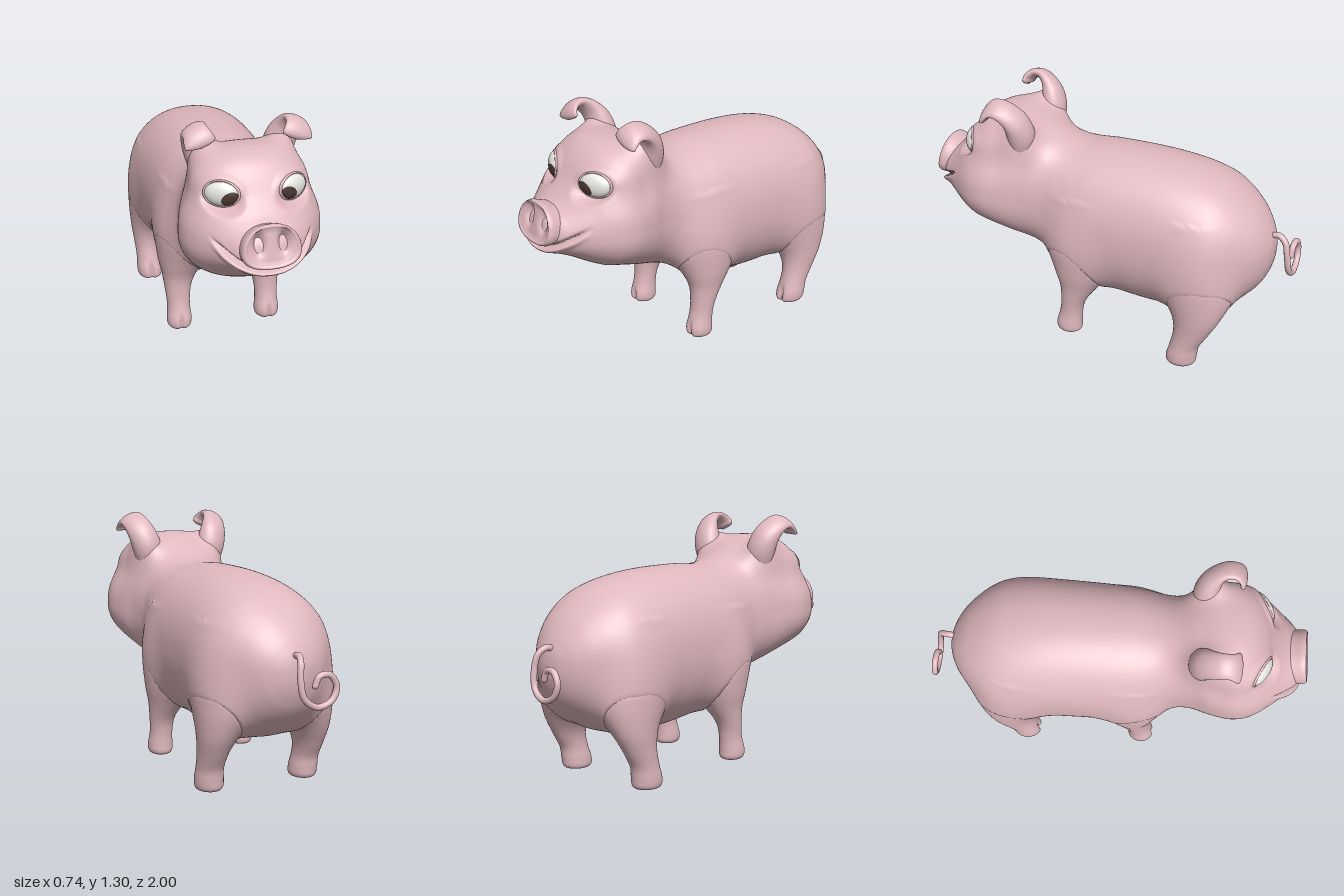
import * as THREE from 'three';

const V = (x, y, z) => new THREE.Vector3(x, y, z);
const pow = (v, p) => Math.sign(v) * Math.abs(v) ** p;
const bell = (d, s) => Math.exp(-((d / s) ** 2));
const step = THREE.MathUtils.smoothstep;

// Smooth closed skin over rings; point(i, angle) must turn anticlockwise about the loft direction
function loft(rings, segs, point) {
  const pos = [], index = [];
  for (let i = 0; i < rings; i++) {
    for (let j = 0; j < segs; j++) {
      pos.push(...point(i, (j / segs) * Math.PI * 2).toArray());
      if (i === rings - 1) continue;
      const a = i * segs + j, b = i * segs + ((j + 1) % segs);
      index.push(a, b, b + segs, a, b + segs, a + segs);
    }
  }
  const g = new THREE.BufferGeometry();
  g.setAttribute('position', new THREE.Float32BufferAttribute(pos, 3));
  g.setIndex(index);
  g.computeVertexNormals();
  return g;
}

function mirrored(geometry) {
  const g = geometry.clone().scale(-1, 1, 1), a = g.index.array;
  for (let i = 0; i < a.length; i += 3) [a[i], a[i + 1]] = [a[i + 1], a[i]];
  g.computeVertexNormals();
  return g;
}

// Splines through rows of five numbers, sampled together
function sampler(rows) {
  const curve = k => new THREE.CatmullRomCurve3(
    rows.map(r => V(r[k], r[k + 1], r[k + 2] ?? 0)), false, 'catmullrom', 0.5);
  const a = curve(0), b = curve(3);
  return t => [...a.getPoint(t).toArray(), ...b.getPoint(t).toArray()];
}

// The cross-section whose first number equals v
function locate(at, v) {
  let lo = 0, hi = 1;
  for (let i = 0; i < 14; i++) {
    const m = (lo + hi) / 2;
    if (at(m)[0] < v) lo = m; else hi = m;
  }
  return at(lo);
}

// Distance to an oval, and its outward direction
function oval(u, v, a, b) {
  const r = Math.hypot(u / a, v / b), gu = u / (a * a), gv = v / (b * b), g = Math.hypot(gu, gv) || 1e-6;
  return [(r * (r - 1)) / g, gu / g, gv / g];
}

// Body and head: z, top, bottom, half width, height of widest point
const BODY = [
  [-0.9, 0.63, 0.62, 0.003, 0.625], [-0.893, 0.69, 0.56, 0.06, 0.625], [-0.875, 0.74, 0.5, 0.11, 0.63],
  [-0.845, 0.795, 0.44, 0.165, 0.63], [-0.79, 0.865, 0.375, 0.228, 0.64], [-0.7, 0.94, 0.305, 0.303, 0.64],
  [-0.6, 0.995, 0.262, 0.345, 0.64], [-0.45, 1.035, 0.24, 0.354, 0.65], [-0.25, 1.057, 0.235, 0.35, 0.65],
  [0, 1.06, 0.268, 0.342, 0.65], [0.13, 1.053, 0.33, 0.325, 0.66], [0.22, 1.064, 0.385, 0.298, 0.68],
  [0.3, 1.095, 0.42, 0.28, 0.71], [0.4, 1.15, 0.45, 0.29, 0.75], [0.5, 1.183, 0.485, 0.325, 0.77],
  [0.6, 1.186, 0.525, 0.348, 0.78], [0.68, 1.155, 0.55, 0.338, 0.78], [0.74, 1.095, 0.58, 0.31, 0.78],
  [0.79, 1.015, 0.61, 0.275, 0.78], [0.84, 0.953, 0.64, 0.235, 0.78], [0.88, 0.92, 0.66, 0.2, 0.775],
  [0.92, 0.893, 0.677, 0.163, 0.77], [0.95, 0.855, 0.69, 0.12, 0.765], [0.967, 0.8, 0.71, 0.07, 0.76],
  [0.973, 0.765, 0.755, 0.003, 0.76],
];
// Leg rows: y, centre x, centre z, radius x, radius z
const FRONT_LEG = [
  [0.015, 0.245, 0.148, 0.002, 0.002], [0.016, 0.245, 0.148, 0.045, 0.05], [0.033, 0.245, 0.15, 0.063, 0.069],
  [0.07, 0.245, 0.15, 0.066, 0.07], [0.13, 0.245, 0.14, 0.061, 0.063], [0.2, 0.245, 0.128, 0.065, 0.065],
  [0.3, 0.242, 0.107, 0.08, 0.09], [0.4, 0.235, 0.105, 0.098, 0.118], [0.52, 0.212, 0.108, 0.11, 0.135],
  [0.65, 0.175, 0.1, 0.11, 0.125], [0.8, 0.13, 0.08, 0.08, 0.09],
];
const HIND_LEG = [
  [0, 0.266, -0.502, 0.002, 0.002], [0.001, 0.266, -0.502, 0.05, 0.06], [0.018, 0.266, -0.505, 0.069, 0.08],
  [0.06, 0.268, -0.51, 0.072, 0.082], [0.12, 0.27, -0.525, 0.068, 0.078], [0.2, 0.27, -0.555, 0.073, 0.093],
  [0.3, 0.265, -0.58, 0.088, 0.12], [0.41, 0.245, -0.58, 0.104, 0.148], [0.52, 0.212, -0.56, 0.115, 0.155],
  [0.65, 0.17, -0.53, 0.115, 0.135], [0.8, 0.13, -0.5, 0.08, 0.09],
];
const bodyAt = sampler(BODY), legsAt = [FRONT_LEG, HIND_LEG].map(sampler);

function nearBody(p) {
  const [, top, bottom, w, mid] = locate(bodyAt, p.z);
  const [d, x, y] = oval(p.x, p.y - mid, w, p.y > mid ? top - mid : mid - bottom);
  return { d, n: V(x, y, 0) };
}
function nearLeg(p, at) {
  const [, cx, cz, rx, rz] = locate(at, p.y);
  const [d, x, z] = oval(Math.abs(p.x) - cx, p.z - cz, rx, rz);
  return { d, n: V(x * Math.sign(p.x), 0, z) };
}
// Fillet: lifts a point of one part where another part comes close
function fillet(p, own, other, k = 0.15) {
  const h = Math.max(0, 1 - Math.abs(other.d) / k);
  if (h > 0) p.addScaledVector(own.n.lerp(other.n, 0.5 - other.d / (2 * k)).normalize(), (k / 4) * h * h);
}

const EYE = V(0.172, 1.022, 0.732);

function bodyGeometry() {
  const rings = (BODY.length - 1) * 8 + 1;
  return loft(rings, 160, (i, a) => {
    const [z, top, bottom, w, mid] = bodyAt(i / (rings - 1));
    const e = 0.92 - (Math.sin(a) > 0 ? 0.15 * bell(z - 0.55, 0.15) : 0);
    const s = pow(Math.sin(a), e), c = pow(Math.cos(a), e);
    const p = V(w * c, mid + s * (s > 0 ? top - mid : mid - bottom), z);
    if (z < 0.4 && p.y < 0.85) for (const at of legsAt) fillet(p, nearBody(p), nearLeg(p, at));
    // ear roots rise from the crown, temples narrow above the cheeks
    const root = 0.09 * bell(Math.abs(p.x) - 0.205, 0.075) * bell(z - 0.43, 0.1) * step(p.y, 0.93, 1.1);
    p.add(V(Math.sign(c) * 0.3 * root, root, 0));
    p.x *= 1 - 0.075 * bell(p.y - 0.98, 0.09) * step(z, 0.4, 0.55);
    if (z < 0.6) return p;
    const ax = Math.abs(p.x);
    // smiling mouth: groove with a lower lip beneath it
    const d = p.y - (0.72 + 2 * p.x * p.x);
    const fade = (1 - step(ax, 0.19, 0.26)) * step(z, 0.68, 0.8);
    const push = fade * (0.017 * bell(d + 0.025, 0.018) - 0.03 * bell(d, 0.011));
    p.add(V(p.x * 3, 0, 1).normalize().multiplyScalar(push));
    // eye sockets: flattened oval areas
    const r = ((ax - EYE.x) / 0.083) ** 2 + ((p.y - EYE.y) / 0.064) ** 2;
    const flat = EYE.z - 0.55 * (ax - EYE.x) - 0.1 * (p.y - EYE.y);
    p.z += (flat - p.z) * (1 - step(r, 0.8, 2));
    return p;
  });
}

function legGeometry(at) {
  const rings = 61, floor = at(0)[0];
  return loft(rings, 56, (i, a) => {
    const [y, cx, cz, rx, rz] = at(i / (rings - 1));
    // cleft between the two toes
    const cleft = 1 - 0.25 * bell(Math.min(a, Math.PI * 2 - a), 0.2) * (1 - step(y, 0.05, 0.12));
    const p = V(cx + rx * Math.sin(a), Math.max(y, floor), cz + rz * Math.cos(a) * cleft);
    if (y > 0.12) fillet(p, nearLeg(p, at), nearBody(p));
    return p;
  });
}

// Ear rows: x, y, z, half width, half thickness; rises, then folds forward
function earGeometry() {
  const rows = [
    [0.165, 1.0, 0.43, 0.07, 0.05], [0.19, 1.1, 0.43, 0.08, 0.07], [0.213, 1.175, 0.44, 0.078, 0.06],
    [0.235, 1.23, 0.47, 0.07, 0.042], [0.25, 1.264, 0.515, 0.064, 0.029], [0.25, 1.265, 0.56, 0.063, 0.024],
    [0.243, 1.242, 0.59, 0.072, 0.022], [0.235, 1.216, 0.6, 0.07, 0.019], [0.231, 1.2, 0.6, 0.002, 0.002],
  ];
  const at = sampler(rows), rings = (rows.length - 1) * 6 + 1;
  const path = new THREE.CatmullRomCurve3(rows.map(r => V(r[0], r[1], r[2])), false, 'catmullrom', 0.5);
  return loft(rings, 40, (i, a) => {
    const t = i / (rings - 1), [x, y, z, w, h] = at(t);
    const dir = path.getTangent(t), wide = V(0.9, -0.43, 0.05);
    wide.addScaledVector(dir, -wide.dot(dir)).normalize();
    const thick = dir.clone().cross(wide);
    return V(x, y, z).addScaledVector(wide, w * Math.cos(a)).addScaledVector(thick, h * Math.sin(a));
  });
}

// Snout: disc wider at its base, with two nostril hollows; rows are depth, scale
function snoutGeometry() {
  const rows = [[-0.15, 0.84], [-0.11, 0.86], [-0.07, 0.89], [-0.04, 0.935], [-0.02, 0.98], [-0.007, 1],
    [0.004, 0.985], [0.011, 0.95], [0.013, 0.91], [0.011, 0.87]];
  for (let k = 0; k <= 30; k++) rows.push([0.008 - 0.004 * Math.min(1, k / 6), 0.83 * (1 - k / 30) + 0.001]);
  const up = V(0, 0.982, -0.19), out = V(0, 0.19, 0.982);
  return loft(rows.length, 96, (i, a) => {
    const [d, s] = rows[i], v = 0.106 * s * pow(Math.sin(a), 0.88);
    const x = 0.14 * (s + Math.max(0, -d) * 1.6) * pow(Math.cos(a), 0.85) * (1 - 0.16 * Math.sin(a));
    const hollow = i < 9 ? 0 : 0.045 * bell(Math.abs(x) - 0.06, 0.024) * bell(v - 0.02, 0.046);
    return V(x, 0.838, 0.967).addScaledVector(up, v).addScaledVector(out, d - hollow);
  });
}

export function createModel() {
  const material = (name, color) => Object.assign(new THREE.MeshStandardMaterial({ color }), { name });
  const skin = material('pink skin', 0xdfb8be);
  const white = material('eye white', 0xe6e6e2);
  const dark = material('dark brown iris', 0x4a3830);
  const pig = Object.assign(new THREE.Group(), { name: 'pig' });
  const add = (name, geometry, mat = skin, parent = pig) => {
    const m = Object.assign(new THREE.Mesh(geometry, mat), { name });
    parent.add(m);
    return m;
  };
  add('body and head', bodyGeometry());
  add('snout', snoutGeometry());
  const pairs = { 'front leg': legGeometry(legsAt[0]), 'hind leg': legGeometry(legsAt[1]), ear: earGeometry() };
  for (const [name, geometry] of Object.entries(pairs)) {
    add('left ' + name, geometry);
    add('right ' + name, mirrored(geometry));
  }
  // Eyes look inward, each framed by a soft lid
  for (const side of [1, -1]) {
    const eye = Object.assign(new THREE.Group(), { name: side > 0 ? 'left eye' : 'right eye' });
    eye.position.set(side * EYE.x, EYE.y, EYE.z);
    eye.rotation.set(-0.1, side * 0.5, 0, 'YXZ');
    add('eyeball', new THREE.SphereGeometry(1, 48, 32).scale(0.082, 0.059, 0.035), white, eye);
    const iris = new THREE.SphereGeometry(1.025, 40, 14, 0, Math.PI * 2, 0, 0.66);
    const gaze = V(-0.67 * side, -0.36, 0.65).normalize();
    iris.applyQuaternion(new THREE.Quaternion().setFromUnitVectors(V(0, 1, 0), gaze));
    add('iris', iris.scale(0.082, 0.059, 0.035), dark, eye);
    add('eyelid', new THREE.TorusGeometry(1, 0.08, 12, 56).scale(0.084, 0.061, 0.12), skin, eye);
    pig.add(eye);
  }
  // Curly tail
  const curl = [[0, 0.71, -0.86], [0, 0.722, -0.91], [0.012, 0.695, -0.95], [0.022, 0.62, -0.968],
    [0.005, 0.53, -0.978], [-0.06, 0.487, -0.984], [-0.135, 0.51, -0.984], [-0.165, 0.575, -0.98],
    [-0.13, 0.632, -0.975], [-0.075, 0.628, -0.972], [-0.055, 0.585, -0.97]].map(p => V(...p));
  add('tail', new THREE.TubeGeometry(new THREE.CatmullRomCurve3(curl), 90, 0.016, 14));
  add('tail tip', new THREE.SphereGeometry(0.016, 14, 10)).position.copy(curl[curl.length - 1]);
  return pig;
}
